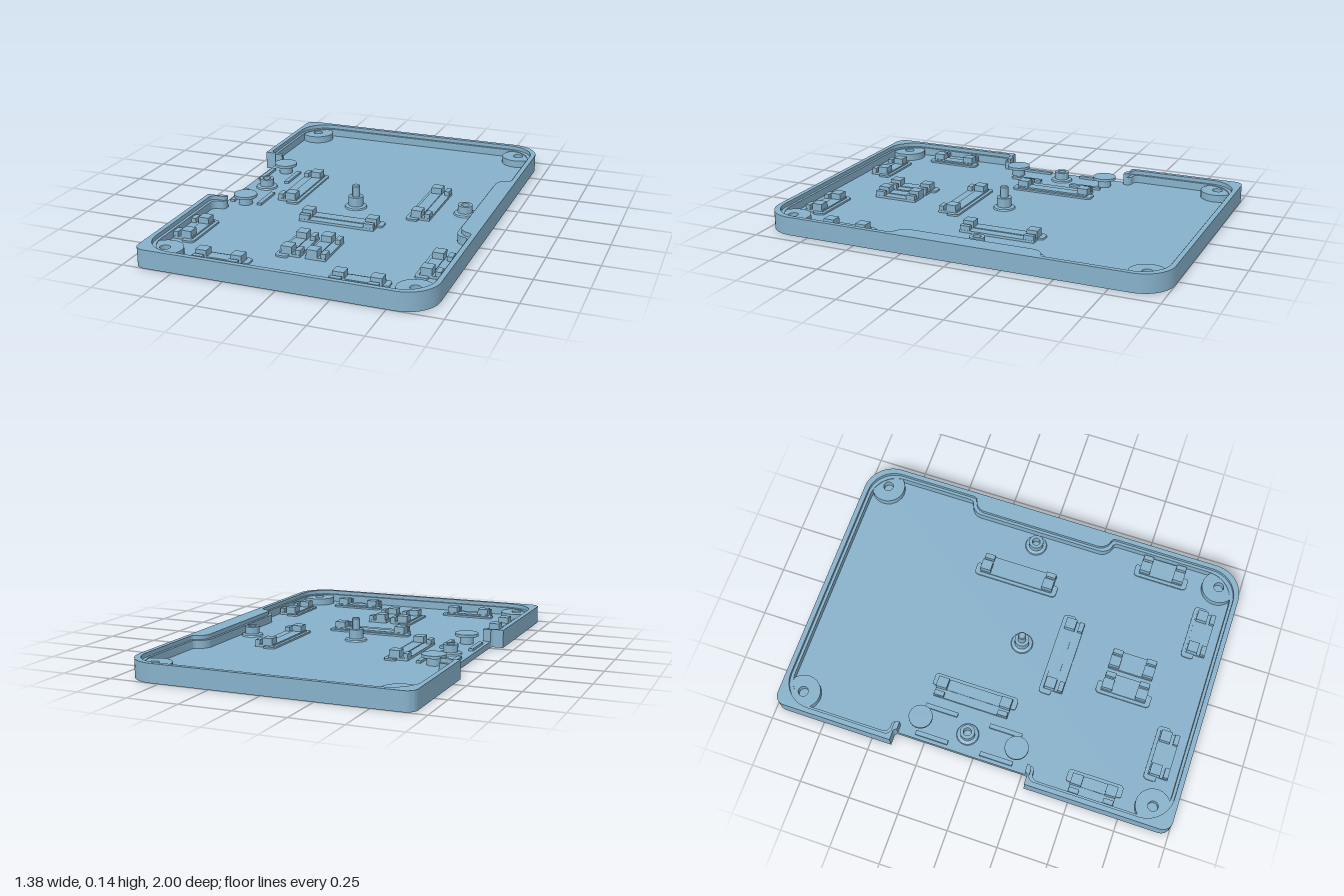
import * as THREE from 'three';
import { toCreasedNormals } from 'three/addons/utils/BufferGeometryUtils.js';

const FLOOR = 0.03;
const RIM = 0.09;

export function createModel() {
  const model = new THREE.Group();
  model.name = 'enclosureTray';
  const blue = new THREE.MeshStandardMaterial({ color: 0x86b0c9 });
  blue.name = 'dusty blue';

  const add = (parent, name, geometry, x = 0, y = 0, z = 0) => {
    const mesh = new THREE.Mesh(geometry, blue);
    mesh.name = name;
    mesh.position.set(x, y, z);
    parent.add(mesh);
    return mesh;
  };

  // Closed outline from right-angled corners [x, z, radius]
  const outline = (corners) => {
    const shape = new THREE.Shape();
    const pts = corners.map(([x, z]) => new THREE.Vector2(x, -z));
    const n = pts.length;
    corners.forEach(([, , r = 0], i) => {
      const p = pts[i];
      const toPrev = pts[(i + n - 1) % n].clone().sub(p).normalize();
      const toNext = pts[(i + 1) % n].clone().sub(p).normalize();
      const at = (dir, d) => p.clone().addScaledVector(dir, d);
      const a = at(toPrev, r), b = at(toNext, r);
      if (i === 0) shape.moveTo(a.x, a.y);
      else shape.lineTo(a.x, a.y);
      if (r > 0) {
        const c = at(toPrev, r * 0.448), d = at(toNext, r * 0.448);
        shape.bezierCurveTo(c.x, c.y, d.x, d.y, b.x, b.y);
      }
    });
    shape.closePath();
    return shape;
  };

  const circle = (x, z, r, Type = THREE.Path) => new Type().absarc(x, -z, r, 0, Math.PI * 2, false);

  // Upright extrusion of a plan shape between two heights
  const slab = (shape, y0, y1) => {
    const g = new THREE.ExtrudeGeometry(shape, { depth: y1 - y0, bevelEnabled: false, curveSegments: 12 });
    g.rotateX(-Math.PI / 2).translate(0, y0, 0);
    return toCreasedNormals(g, 0.6);
  };

  // Turned part from [radius, height] points
  const turned = (points, sides = 32) => toCreasedNormals(
    new THREE.LatheGeometry(points.map(([r, y]) => new THREE.Vector2(r, y)), sides), 0.6);

  // Floor with shallow round recesses underneath
  const corners = [[-0.59, -0.89], [0.59, -0.89], [0.59, 0.89], [-0.59, 0.89]];
  const sidePosts = [[-0.53, -0.06], [0.53, -0.06]];
  const floorOutline = () => outline([
    [-0.69, -0.4], [-0.69, -1, 0.05], [0.69, -1, 0.15], [0.69, 1, 0.15],
    [-0.69, 1, 0.05], [-0.69, 0.28], [-0.63, 0.28, 0.015], [-0.63, -0.4, 0.015],
  ]);
  const recessed = floorOutline();
  [...corners, ...sidePosts].forEach(([x, z]) => recessed.holes.push(circle(x, z, 0.073)));
  add(model, 'underside', slab(recessed, 0, 0.01));
  add(model, 'floor', slab(floorOutline(), 0.01, FLOOR));

  // Wall running around the tray, open at the left notch and thicker at the right
  const wall = (t) => outline([
    [-0.69, -0.4], [-0.69, -1, 0.05], [0.69, -1, 0.15], [0.69, 1, 0.15],
    [-0.69, 1, 0.05], [-0.69, 0.28], [-0.63, 0.28, 0.015], [-0.63, 0.265], [-0.59, 0.265],
    [-0.59, 0.265 + t, 0.02], [-0.69 + t, 0.265 + t, 0.03],
    [-0.69 + t, 1 - t, 0.14], [0.69 - t, 1 - t, 0.14],
    [0.69 - t, 0.28 + t, 0.02], [0.625 - t, 0.28 + t, 0.06],
    [0.625 - t, -0.4 - t, 0.06], [0.69 - t, -0.4 - t, 0.02],
    [0.69 - t, -1 + t, 0.14], [-0.69 + t, -1 + t, 0.14],
    [-0.69 + t, -0.385 - t, 0.03], [-0.59, -0.385 - t, 0.02], [-0.59, -0.385],
    [-0.63, -0.385], [-0.63, -0.4, 0.015],
  ]);
  add(model, 'outerWall', slab(wall(0.024), FLOOR, RIM));
  add(model, 'innerLedge', slab(wall(0.038), FLOOR, 0.07));

  // Corner screw bosses
  corners.forEach(([x, z]) => {
    const boss = circle(x, z, 0.085, THREE.Shape);
    boss.holes.push(circle(x, z, 0.025));
    add(model, 'cornerBoss', slab(boss, FLOOR, 0.066));
  });

  // Hollow side posts and the central locating pin
  sidePosts.forEach(([x, z]) => add(model, 'sidePost', turned([
    [0.055, 0], [0.052, 0.008], [0.036, 0.012], [0.036, 0.048],
    [0.02, 0.048], [0.02, 0.005], [0, 0.005],
  ]), x, FLOOR, z));
  add(model, 'centrePin', turned([
    [0.055, 0], [0.052, 0.008], [0.036, 0.012], [0.036, 0.058],
    [0.02, 0.058], [0.02, 0.11], [0.016, 0.115], [0, 0.115],
  ]), 0, FLOOR, 0.04);

  // Mushroom buttons with a thin guide rib on each side
  [[-0.3, -0.22], [0.19, 0.11]].forEach(([z, ribZ]) => {
    add(model, 'mushroomButton', turned([
      [0.034, 0], [0.034, 0.035], [0.058, 0.038], [0.058, 0.052], [0, 0.052],
    ]), -0.53, FLOOR, z);
    for (const x of [-0.602, -0.456]) {
      add(model, 'guideRib', new THREE.BoxGeometry(0.022, 0.012, 0.165), x, FLOOR + 0.006, ribZ);
    }
  });

  // Retaining clip: low pad on the -z side, a bar and a pair of blocks at each end
  const clip = (name, x, z, half, turn, hasPad = true) => {
    const g = new THREE.Group();
    g.name = name;
    g.position.set(x, FLOOR, z);
    g.rotation.y = turn;
    model.add(g);
    if (hasPad) {
      const h = half + 0.025;
      add(g, 'clipPad', slab(outline([
        [-h, -0.058, 0.02], [h, -0.058, 0.02], [h, 0.004, 0.012], [-h, 0.004, 0.012],
      ]), 0, 0.009));
    }
    add(g, 'clipBar', new THREE.BoxGeometry(half * 2, 0.016, 0.055), 0, 0.008, -0.014);
    add(g, 'clipSill', new THREE.BoxGeometry(half * 2, 0.012, 0.046), 0, 0.006, 0.034);
    for (const side of [-1, 1]) {
      const bx = side * (half - 0.027);
      add(g, 'clipTallBlock', new THREE.BoxGeometry(0.054, 0.046, 0.052), bx, 0.023, -0.01);
      add(g, 'clipShortBlock', new THREE.BoxGeometry(0.05, 0.034, 0.024), bx, 0.017, 0.044);
    }
  };

  const Q = Math.PI / 2;
  clip('leftLongClip', -0.34, -0.095, 0.19, -Q);
  clip('rightLongClip', 0.34, -0.095, 0.19, Q);
  clip('centreClip', 0, 0.253, 0.19, 0);
  clip('leftEdgeClip', -0.593, 0.597, 0.113, -Q);
  clip('rightEdgeClip', 0.588, 0.597, 0.113, Q);
  clip('middleClip', -0.068, 0.597, 0.113, Q);
  clip('middleClipPartner', 0.055, 0.597, 0.113, Q, false);
  clip('frontLeftClip', -0.33, 0.864, 0.113, 0);
  clip('frontRightClip', 0.325, 0.864, 0.113, 0);

  return model;
}
